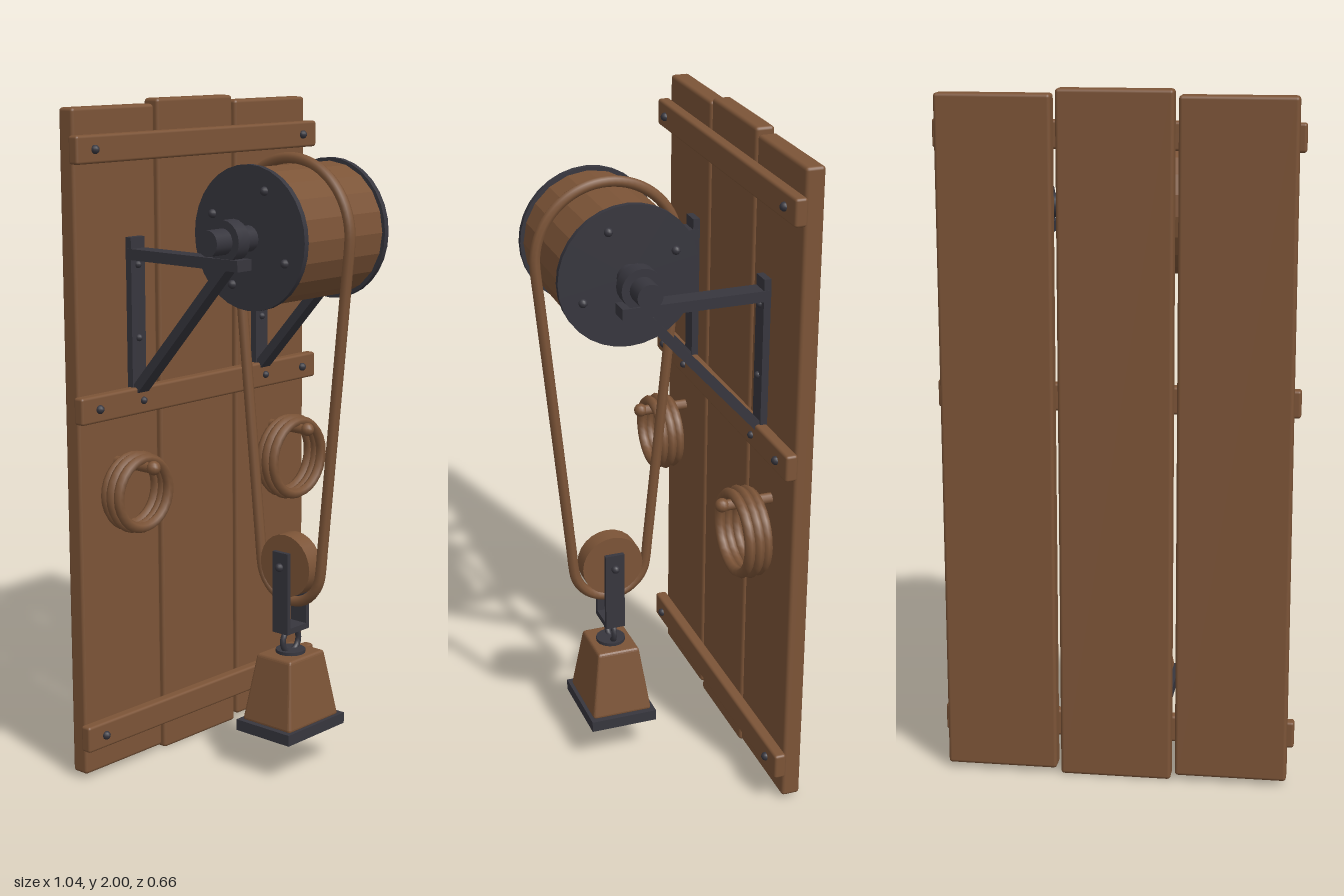
import * as THREE from 'three';
import { RoundedBoxGeometry } from 'three/addons/geometries/RoundedBoxGeometry.js';

export function createModel() {
  const model = new THREE.Group();
  model.name = 'ropeHoist';
  const wood = new THREE.MeshStandardMaterial({ color: 0x7c5437 });
  wood.name = 'brown wood and rope';
  const iron = new THREE.MeshStandardMaterial({ color: 0x37363e });
  iron.name = 'dark iron';

  const AXLE_Y = 1.625, PULLEY_Y = 0.635, Z = 0.1;

  const add = (name, geometry, material, x, y, z, parent = model) => {
    const mesh = new THREE.Mesh(geometry, material);
    mesh.name = name;
    mesh.position.set(x, y, z);
    parent.add(mesh);
    return mesh;
  };
  const flat = (geometry) => {
    const g = geometry.index ? geometry.toNonIndexed() : geometry;
    g.computeVertexNormals();
    return g;
  };
  const rounded = (w, h, d, r) => new RoundedBoxGeometry(w, h, d, 2, r);
  const box = (w, h, d) => new THREE.BoxGeometry(w, h, d);
  const rodX = (r, length, sides = 20) =>
    new THREE.CylinderGeometry(r, r, length, sides).rotateZ(Math.PI / 2);
  const rodZ = (r, length, sides = 10) =>
    new THREE.CylinderGeometry(r, r, length, sides).rotateX(Math.PI / 2);
  const rivet = (x, y, z, parent, r = 0.013) =>
    add('rivet', new THREE.SphereGeometry(r, 10, 8), iron, x, y, z, parent);

  // Back board: three planks and three battens
  [[-0.3375, 1.97], [0, 2], [0.3375, 1.97]].forEach(([x, h]) =>
    add('plank', rounded(0.325, h, 0.057, 0.01), wood, x, 1, -0.3035));
  [0.137, 1.13, 1.87].forEach((y) => {
    add('batten', rounded(1.036, 0.08, 0.036, 0.008), wood, 0, y, -0.258);
    [-0.45, 0.45].forEach((x) => rivet(x, y, -0.238));
  });

  // Drum with riveted end discs on an axle
  const drum = new THREE.Group();
  drum.name = 'drum';
  drum.position.set(0, AXLE_Y, Z);
  model.add(drum);
  add('drumBarrel', flat(rodX(0.196, 0.345)), wood, 0, 0, 0, drum);
  add('axle', rodX(0.037, 0.716), iron, 0, 0, 0, drum);
  for (const s of [-1, 1]) {
    add('drumDisc', rodX(0.206, 0.017, 32), iron, s * 0.179, 0, 0, drum);
    add('bearingCollar', rodX(0.06, 0.046, 20), iron, s * 0.272, 0, 0, drum);
    for (let i = 0; i < 4; i++) {
      const a = 1.15 + i * Math.PI / 2;
      rivet(s * 0.189, Math.sin(a) * 0.148, Math.cos(a) * 0.148, drum);
    }
  }

  // Wall brackets
  for (const s of [-1, 1]) {
    const bracket = new THREE.Group();
    bracket.name = 'bracket';
    bracket.position.x = s * 0.272;
    model.add(bracket);
    add('wallPlate', box(0.056, 0.47, 0.022), iron, 0, 1.375, -0.265, bracket);
    add('bracketArm', box(0.058, 0.032, 0.435), iron, 0, 1.561, -0.058, bracket);
    const dz = 0.36, dy = 0.4;
    const brace = add('bracketBrace', box(0.046, 0.028, Math.hypot(dz, dy)), iron,
      0, 1.353, -0.08, bracket);
    brace.rotation.x = -Math.atan2(dy, dz);
    [1.53, 1.315, 1.13].forEach((y) => rivet(0, y, y < 1.2 ? -0.238 : -0.254, bracket, 0.011));
  }

  // Rope loop: tangent lines joining an arc over the drum and one under the pulley
  const R = 0.214, r = 0.115;
  const tilt = Math.asin((R - r) / (AXLE_Y - PULLEY_Y));
  const path = [];
  const arc = (y, radius, from, to, n) => {
    for (let i = 0; i <= n; i++) {
      const a = from + (to - from) * i / n;
      path.push(new THREE.Vector3(0, y + radius * Math.sin(a), Z + radius * Math.cos(a)));
    }
  };
  const straight = (n) => {
    const side = path.length < 30 ? Math.PI + tilt : -tilt;
    const p = new THREE.Vector3(0, AXLE_Y + R * Math.sin(side), Z + R * Math.cos(side));
    const q = new THREE.Vector3(0, PULLEY_Y + r * Math.sin(side), Z + r * Math.cos(side));
    const [start, end] = path.length < 30 ? [p, q] : [q, p];
    for (let i = 1; i < n; i++) path.push(start.clone().lerp(end, i / n));
  };
  arc(AXLE_Y, R, -tilt, Math.PI + tilt, 20);
  straight(12);
  arc(PULLEY_Y, r, Math.PI + tilt, 2 * Math.PI - tilt, 14);
  straight(12);
  const loop = new THREE.CatmullRomCurve3(path, true, 'centripetal');
  add('ropeLoop', new THREE.TubeGeometry(loop, 160, 0.016, 8, true), wood, 0, 0, 0);

  // Lower pulley in its fork
  const block = new THREE.Group();
  block.name = 'pulleyBlock';
  block.position.set(0, 0, Z);
  model.add(block);
  add('pulleyWheel', rodX(0.095, 0.056, 24), wood, 0, PULLEY_Y, 0, block);
  add('pulleyPin', rodX(0.012, 0.11, 10), iron, 0, PULLEY_Y, 0, block);
  for (const s of [-1, 1]) {
    add('forkArm', box(0.014, 0.25, 0.06), iron, s * 0.043, 0.555, 0, block);
    rivet(s * 0.053, PULLEY_Y, 0, block);
  }
  add('forkBase', box(0.1, 0.018, 0.06), iron, 0, 0.438, 0, block);

  // Hanging weight
  add('weightRing', new THREE.TorusGeometry(0.036, 0.009, 8, 20), iron, 0, 0.397, 0, block);
  add('weightCap', new THREE.CylinderGeometry(0.045, 0.045, 0.016, 16), iron, 0, 0.362, 0, block);
  const weight = rounded(0.23, 0.21, 0.19, 0.01);
  const pos = weight.attributes.position;
  for (let i = 0; i < pos.count; i++) {
    const k = 1 - 0.31 * (pos.getY(i) + 0.105) / 0.21;
    pos.setX(i, pos.getX(i) * k);
    pos.setZ(i, pos.getZ(i) * k);
  }
  add('weightBody', flat(weight), wood, 0, 0.255, 0, block);
  add('weightBase', box(0.26, 0.034, 0.208), iron, 0, 0.137, 0, block);

  // Rope coils hung on pegs
  [[-0.35, 0.875, 0.122], [0.343, 0.86, 0.137]].forEach(([x, y, outer]) => {
    const coil = new THREE.Group();
    coil.name = 'ropeCoil';
    coil.position.set(x, y, 0);
    model.add(coil);
    [-0.217, -0.191, -0.165].forEach((z, i) =>
      add('coilTurn', new THREE.TorusGeometry(outer - 0.016 - (i === 1 ? 0 : 0.004), 0.016, 6, 28),
        wood, 0, 0, z, coil));
    add('peg', rodZ(0.016, 0.15), wood, 0, 0.955 - y, -0.2, coil);
    add('pegKnob', new THREE.SphereGeometry(0.021, 12, 8), wood, 0, 0.957 - y, -0.124, coil);
  });

  return model;
}
